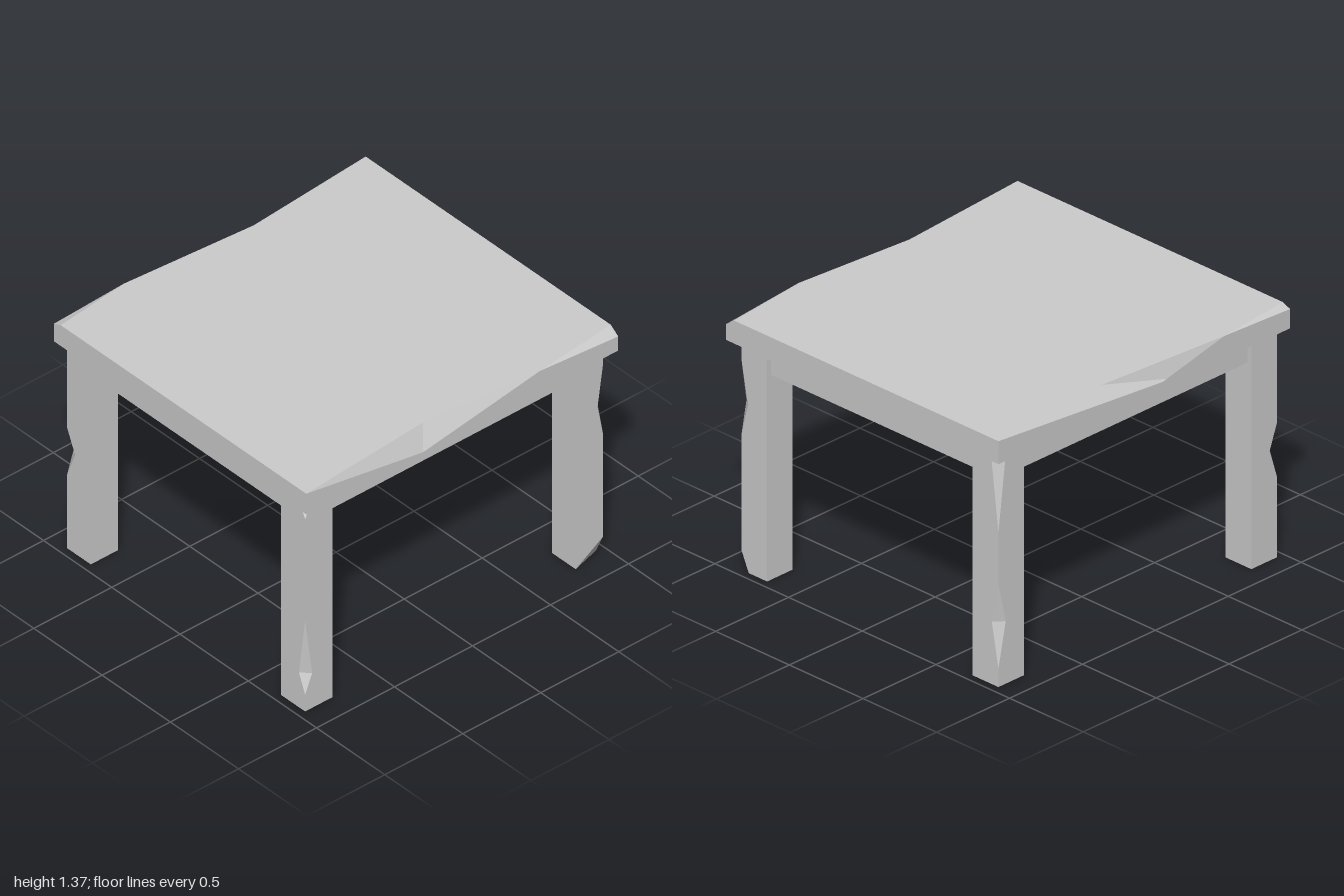
import * as THREE from 'three';

const material = new THREE.MeshStandardMaterial({ color: 0xcccccc, flatShading: true });

// Bar running along w with one chipped edge, at the (U, V) corner.
// Each station is [w, cutU, cutV, wShift]: how far the chip bites into either face there.
function chippedBar(U, V, stations, place, openInner = false) {
  const rings = stations.map(([w, a, b, shift = 0]) => [
    place(0, 0, w), place(U, 0, w), place(U, V - b, w + shift), place(U - a, V, w - shift), place(0, V, w),
  ]);
  const o = place(0, 0, 0);
  const [e1, e2, e3] = [place(1, 0, 0), place(0, 1, 0), place(0, 0, 1)].map((p) => p.sub(o));
  const mirrored = e1.cross(e2).dot(e3) < 0;

  const points = [];
  const tri = (a, b, c) => {
    if (new THREE.Triangle(a, b, c).getArea() < 1e-7) return;
    points.push(...(mirrored ? [a, c, b] : [a, b, c]));
  };
  for (let i = 0; i < rings.length - 1; i++) {
    const lo = rings[i], hi = rings[i + 1];
    for (let k = 0; k < (openInner ? 4 : 5); k++) {
      const n = (k + 1) % 5;
      tri(lo[k], lo[n], hi[n]);
      tri(lo[k], hi[n], hi[k]);
    }
  }
  // End caps
  const first = rings[0], last = rings[rings.length - 1];
  for (let k = 1; k < 4; k++) {
    tri(first[0], first[k + 1], first[k]);
    tri(last[0], last[k], last[k + 1]);
  }
  const geometry = new THREE.BufferGeometry().setFromPoints(points);
  geometry.computeVertexNormals();
  return geometry;
}

export function createModel() {
  const model = new THREE.Group();
  const add = (name, geometry) => {
    const mesh = new THREE.Mesh(geometry, material);
    mesh.name = name;
    model.add(mesh);
    return mesh;
  };

  const under = 1.245; // underside of the tabletop
  const legWidth = 0.175;

  // Tabletop: two halves meeting at x = 0, each with a worn outer top edge
  const topHalf = (side, stations) =>
    chippedBar(0.925, 0.125, stations, (u, v, w) => new THREE.Vector3(side * u, under + v, w), true);
  add('tabletopLeft', topHalf(1, [
    [-1, 0.055, 0.04], [-0.5, 0, 0], [0.225, 0.06, 0.12, 0.025], [1, 0, 0],
  ]));
  add('tabletopRight', topHalf(-1, [
    [-1, 0, 0], [-0.015, 0.06, 0.1, 0.215], [0.55, 0, 0], [1, 0.05, 0.02],
  ]));

  // Legs, with chips along the outer vertical edge
  const legs = [
    ['frontLeftLeg', 0.69, 0.78, [
      [0, 0, 0], [0.1, 0, 0], [0.21, 0.045, 0.045], [0.55, 0, 0], [1.16, 0, 0], [under, 0.045, 0.045]]],
    ['frontRightLeg', -0.705, 0.78, [
      [0, 0, 0], [0.44, 0, 0], [0.595, 0.06, 0.05], [0.73, 0, 0], [under, 0, 0]]],
    ['backLeftLeg', 0.69, -0.78, [
      [0, 0.05, legWidth], [0.11, 0, 0], [0.73, 0, 0], [0.91, 0.045, 0.035], [1.15, 0, 0], [under, 0, 0]]],
    ['backRightLeg', -0.705, -0.78, [
      [0, 0, 0], [0.1, 0, 0], [0.34, 0.045, 0.05], [0.56, 0, 0], [0.84, 0, 0], [under, 0.05, 0.05]]],
  ];
  for (const [name, x, z, stations] of legs) {
    add(name, chippedBar(legWidth, legWidth, stations, (u, v, w) =>
      new THREE.Vector3(x + Math.sign(x) * u, w, z + Math.sign(z) * v)));
  }

  // Apron rails between the legs
  const railHeight = 0.13, railDepth = 0.125, railY = under - railHeight / 2;
  for (const [name, z] of [['frontApron', 0.8675], ['backApron', -0.8675]]) {
    add(name, new THREE.BoxGeometry(1.395, railHeight, railDepth)).position.set(-0.0075, railY, z);
  }
  for (const [name, x] of [['leftApron', 0.7775], ['rightApron', -0.7925]]) {
    add(name, new THREE.BoxGeometry(railDepth, railHeight, 1.56)).position.set(x, railY, 0);
  }

  return model;
}
